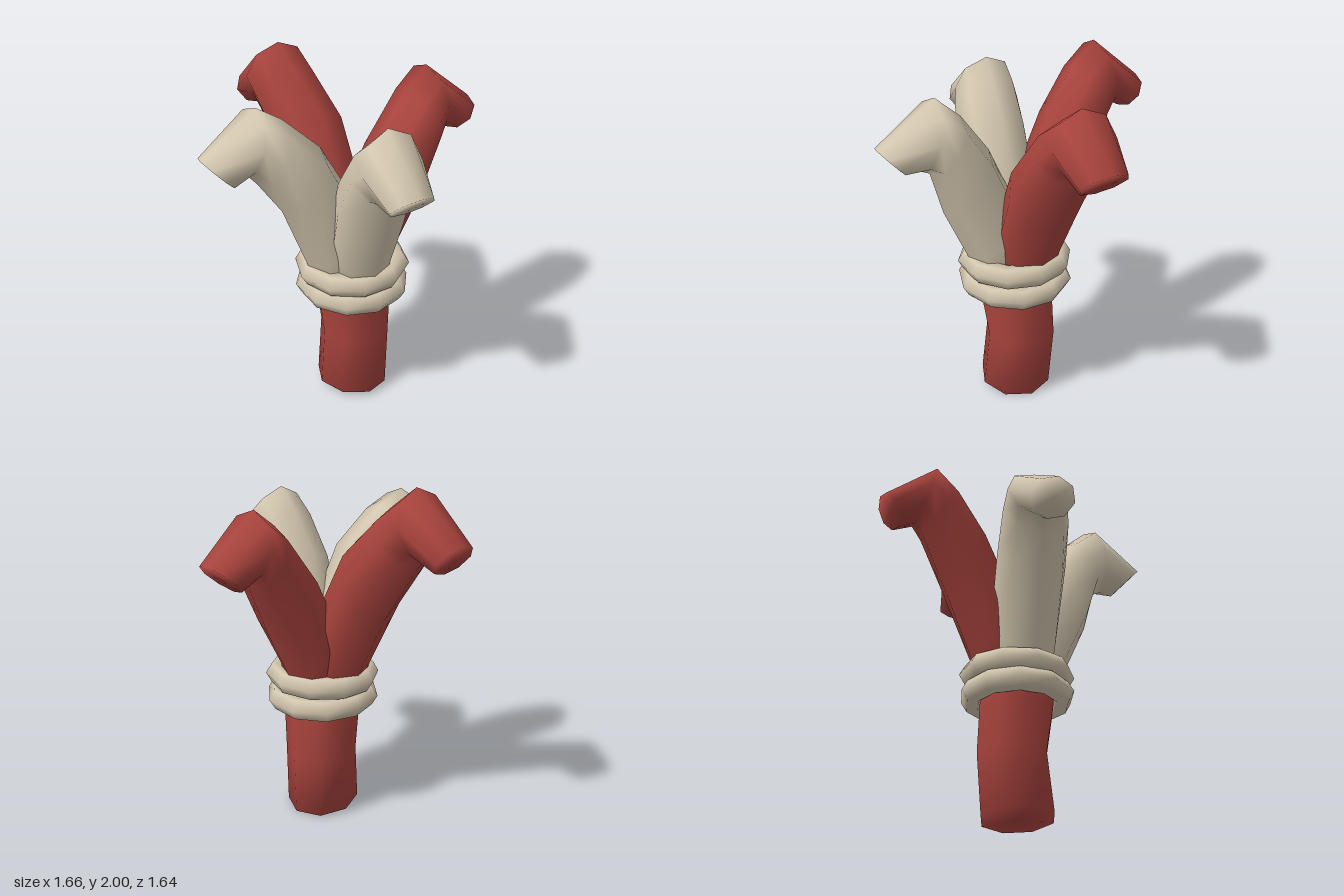
import * as THREE from 'three';

const SIDES = 8;
const V = (x, y, z) => new THREE.Vector3(x, y, z);

// Skin a capped tube over rings of { c: centre, a, b: half-axes }, a x b pointing along the tube.
function loft(rings) {
  const pos = [], idx = [];
  for (const { c, a, b } of rings) {
    for (let j = 0; j < SIDES; j++) {
      const t = (j / SIDES) * Math.PI * 2;
      pos.push(...c.clone().addScaledVector(a, Math.cos(t)).addScaledVector(b, Math.sin(t)).toArray());
    }
  }
  const last = (rings.length - 1) * SIDES, start = rings.length * SIDES, end = start + 1;
  pos.push(...rings[0].c.toArray(), ...rings[rings.length - 1].c.toArray());
  for (let j = 0; j < SIDES; j++) {
    const k = (j + 1) % SIDES;
    for (let i = 0; i < last; i += SIDES) {
      idx.push(i + j, i + k, i + SIDES + k, i + j, i + SIDES + k, i + SIDES + j);
    }
    idx.push(start, k, j, end, last + j, last + k);
  }
  const g = new THREE.BufferGeometry();
  g.setAttribute('position', new THREE.Float32BufferAttribute(pos, 3));
  g.setIndex(idx);
  g.computeVertexNormals();
  return g;
}

// Hooked branch. Each row: top (out, y), bottom (out, y), sideways centre, sideways half-width.
function branch(out, side, rows) {
  const across = out.clone().cross(V(0, 1, 0));
  return loft(rows.map(([tu, ty, bu, by, mid, half]) => {
    const top = out.clone().multiplyScalar(tu).setY(ty);
    const bottom = out.clone().multiplyScalar(bu).setY(by);
    return {
      c: top.clone().add(bottom).multiplyScalar(0.5).addScaledVector(side, mid),
      a: top.sub(bottom).multiplyScalar(0.5),
      b: across.clone().multiplyScalar(half),
    };
  }));
}

export function createModel() {
  const group = new THREE.Group();
  const red = new THREE.MeshStandardMaterial({ color: 0xa8433d });
  red.name = 'red';
  const cream = new THREE.MeshStandardMaterial({ color: 0xd2c6ae });
  cream.name = 'cream';
  const add = (name, geometry, material) => {
    const mesh = new THREE.Mesh(geometry, material);
    mesh.name = name;
    group.add(mesh);
    return mesh;
  };

  // Trunk, slightly bent, with a tilted foot: x, y, z, tilt, radius
  const trunk = [
    [0, 0.025, 0.07, -0.025, 0.21],
    [0.03, 0.38, 0.05, -0.01, 0.205],
    [0.005, 0.66, 0.07, 0, 0.22],
    [0, 0.86, 0.07, 0, 0.2],
  ].map(([x, y, z, tilt, r]) => ({ c: V(x, y, z), a: V(r, tilt, 0), b: V(0, 0, -r) }));
  add('trunk', loft(trunk), red);

  const X = V(1, 0, 0), Z = V(0, 0, 1);
  add('leftBranch', branch(X, Z, [
    [-0.1, 0.75, 0.2, 0.68, 0.06, 0.17],
    [-0.04, 1.15, 0.27, 0.9, 0.04, 0.19],
    [0.15, 1.52, 0.41, 1.18, 0.04, 0.21],
    [0.38, 1.79, 0.56, 1.5, 0.01, 0.2],
    [0.53, 1.9, 0.6, 1.55, -0.02, 0.19],
    [0.83, 1.66, 0.67, 1.5, -0.02, 0.14],
  ]), red);

  add('rightBranch', branch(V(-1, 0, 0), Z, [
    [-0.1, 0.75, 0.2, 0.68, 0.06, 0.18],
    [-0.04, 1.2, 0.28, 0.9, 0.06, 0.2],
    [0.18, 1.6, 0.42, 1.28, 0.04, 0.21],
    [0.38, 1.79, 0.54, 1.46, 0, 0.2],
    [0.51, 1.87, 0.6, 1.53, -0.03, 0.18],
    [0.83, 1.65, 0.67, 1.48, -0.03, 0.13],
  ]), cream);

  add('backBranch', branch(V(0, 0, -1), X, [
    [-0.16, 0.75, 0.12, 0.68, 0, 0.17],
    [-0.08, 1.2, 0.21, 0.9, -0.02, 0.19],
    [0.17, 1.68, 0.38, 1.27, -0.05, 0.2],
    [0.36, 1.88, 0.55, 1.58, -0.11, 0.19],
    [0.51, 2.0, 0.6, 1.64, -0.13, 0.18],
    [0.82, 1.75, 0.7, 1.58, -0.15, 0.13],
  ]), red);

  add('frontBranch', branch(Z, X, [
    [-0.02, 0.75, 0.27, 0.68, 0, 0.17],
    [0.04, 1.15, 0.35, 0.9, -0.02, 0.18],
    [0.2, 1.52, 0.48, 1.2, -0.05, 0.2],
    [0.36, 1.74, 0.55, 1.45, -0.05, 0.19],
    [0.5, 1.86, 0.6, 1.47, -0.06, 0.18],
    [0.82, 1.62, 0.69, 1.48, -0.08, 0.13],
  ]), cream);

  // Two rope loops binding the branches
  [[0.725, -0.02, 0.3], [0.85, 0.02, 0]].forEach(([y, tilt, turn], i) => {
    const rope = new THREE.TorusGeometry(0.262, 0.066, 6, 10);
    rope.rotateX(Math.PI / 2).rotateY(turn).rotateZ(tilt);
    add(i ? 'upperRope' : 'lowerRope', rope, cream).position.set(0, y, 0.07);
  });

  return group;
}
